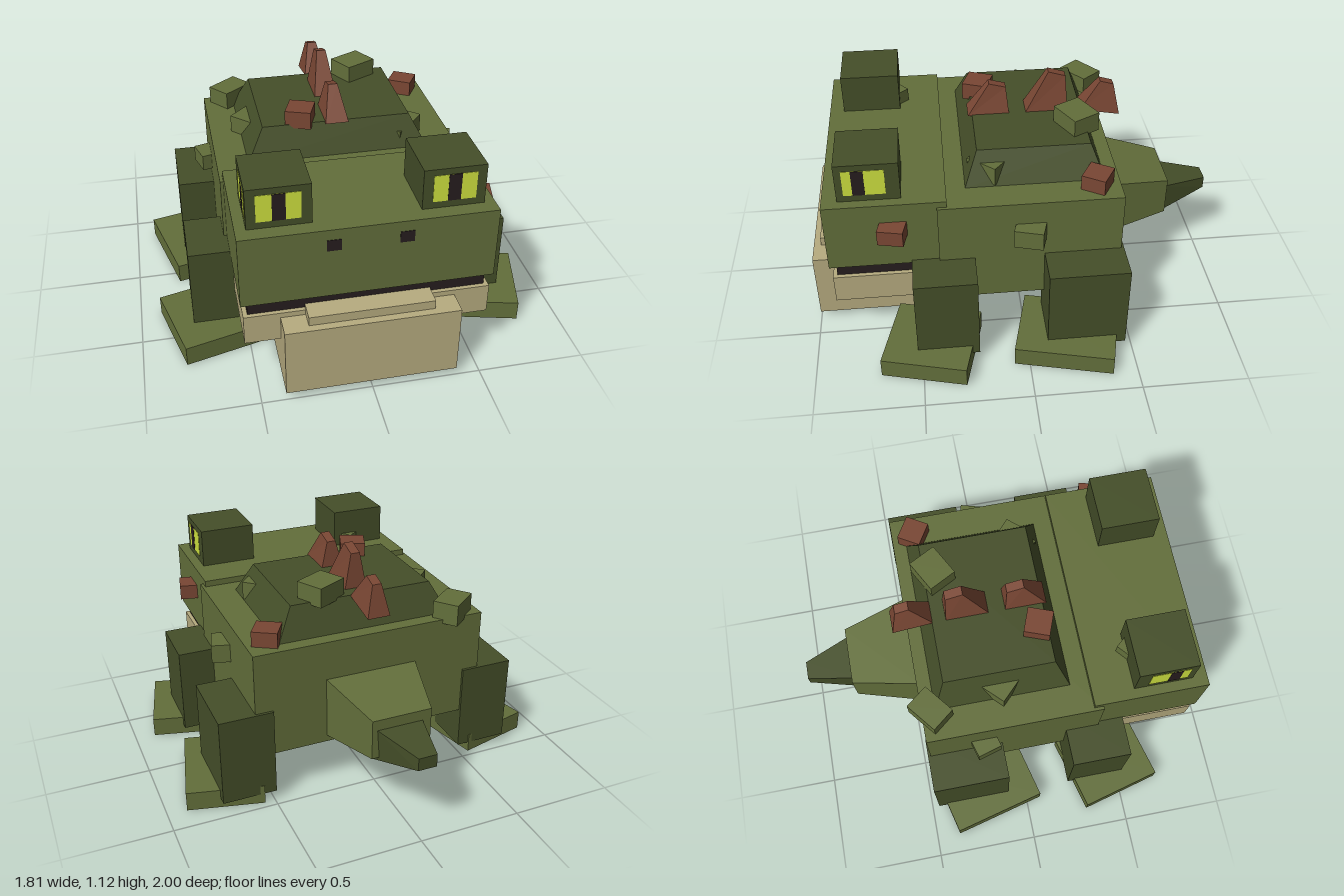
import * as THREE from 'three';

function mat(name, color) {
  const m = new THREE.MeshStandardMaterial({ color, flatShading: true, side: THREE.DoubleSide });
  m.name = name;
  return m;
}

export function createModel() {
  const root = new THREE.Group();
  root.name = 'blockyToad';
  const green = mat('moss green', 0x636f3b);
  const dark = mat('dark green', 0x454f29);
  const tan = mat('belly tan', 0xb7ac80);
  const brown = mat('rust brown', 0x7a4734);
  const black = mat('near black', 0x271d1f);
  const yellow = mat('eye yellow', 0xd0e340);

  function add(name, geometry, material) {
    const m = new THREE.Mesh(geometry, material);
    m.name = name;
    root.add(m);
    return m;
  }

  // Box given by its limits; open = no bottom face
  function box(name, material, [x0, x1], [y0, y1], [z0, z1], open = false) {
    const g = new THREE.BoxGeometry(x1 - x0, y1 - y0, z1 - z0);
    if (open) {
      const idx = Array.from(g.index.array);
      idx.splice(18, 6);
      g.setIndex(idx);
      g.clearGroups();
    }
    const m = add(name, g, material);
    m.position.set((x0 + x1) / 2, (y0 + y1) / 2, (z0 + z1) / 2);
    return m;
  }

  // Box given by centre, size and turn about y
  function turned(name, material, [x, y, z], [w, h, d], turn, open = false) {
    const m = box(name, material, [-w / 2, w / 2], [-h / 2, h / 2], [-d / 2, d / 2], open);
    m.position.set(x, y, z);
    m.rotation.y = turn;
    return m;
  }

  // Six-sided solid from two matching four-corner loops
  function hull(name, material, a, b) {
    const quads = [[...a].reverse(), b];
    for (let i = 0; i < 4; i++) {
      const j = (i + 1) % 4;
      quads.push([a[i], a[j], b[j], b[i]]);
    }
    const pos = quads.flatMap(([p, q, r, s]) => [p, q, r, p, r, s].flat());
    const g = new THREE.BufferGeometry();
    g.setAttribute('position', new THREE.Float32BufferAttribute(pos, 3));
    g.computeVertexNormals();
    return add(name, g, material);
  }

  // Body, head and mouth
  box('body', green, [-0.575, 0.575], [0.253, 0.78], [-0.45, 0.395]);
  box('head', green, [-0.56, 0.56], [0.47, 0.81], [0.35, 0.9]);
  box('mouth', black, [-0.53, 0.53], [0.39, 0.475], [0.36, 0.87]);
  box('jaw', tan, [-0.55, 0.55], [0.258, 0.4], [0.36, 0.89]);
  box('throat', tan, [-0.39, 0.39], [0.037, 0.375], [0.47, 1], true);
  box('lowerLip', tan, [-0.28, 0.28], [0.36, 0.418], [0.6, 0.965]);

  // Raised back plate
  const rect = (hx, y, zBack, zFront) =>
    [[-hx, y, zFront], [hx, y, zFront], [hx, y, zBack], [-hx, y, zBack]];
  hull('backPlate', dark, rect(0.43, 0.778, -0.385, 0.262), rect(0.35, 0.93, -0.325, 0.2));

  // Tail in two tapering pieces
  const section = (x, hx, yLow, yHigh, zLow, zHigh = zLow) =>
    [[x + hx, yLow, zLow], [x - hx, yLow, zLow], [x - hx, yHigh, zHigh], [x + hx, yHigh, zHigh]];
  hull('tailBase', green, section(0, 0.23, 0.285, 0.59, -0.44), section(0, 0.145, 0.335, 0.53, -0.773));
  hull('tailTip', dark, section(0.01, 0.115, 0.3, 0.48, -0.72, -0.76),
    section(-0.01, 0.045, 0.39, 0.452, -1));

  // Spikes: corners (z, y) of the side outline, base front, top front, top back, base back
  const spikes = [
    [[0.22, 0.925], [0.115, 1.077], [0.035, 1.055], [0.022, 0.925]],
    [[-0.055, 0.925], [-0.168, 1.125], [-0.25, 1.1], [-0.26, 0.925]],
    [[-0.32, 0.925], [-0.42, 1.06], [-0.485, 1.04], [-0.515, 0.89]],
  ];
  for (const [bf, tf, tb, bb] of spikes) {
    const loop = (hx, f, k) =>
      [[-hx, f[1], f[0]], [hx, f[1], f[0]], [hx, k[1], k[0]], [-hx, k[1], k[0]]];
    hull('spike', brown, loop(0.055, bf, bb), loop(0.022, tf, tb));
  }

  // Paired parts
  for (const s of [1, -1]) {
    const side = (a, b) => (s > 0 ? [a, b] : [-b, -a]);
    // Legs and feet
    box('frontLeg', dark, side(0.49, 0.752), [0.05, 0.485], [0.232, 0.522]);
    box('rearLeg', dark, side(0.49, 0.752), [0.05, 0.485], [-0.463, -0.09]);
    turned('frontFoot', green, [s * 0.668, 0.048, 0.453], [0.38, 0.096, 0.405], -0.25 * s, true);
    turned('rearFoot', green, [s * 0.673, 0.048, -0.198], [0.367, 0.096, 0.466], -0.24 * s, true);
    // Eyes with front and side panes
    box('eyeSocket', dark, side(0.235, 0.512), [0.8, 1], [0.548, 0.83]);
    box('eyeFront', yellow, side(0.28, 0.47), [0.842, 0.97], [0.826, 0.832]);
    box('pupilFront', black, side(0.345, 0.402), [0.842, 0.97], [0.827, 0.8335]);
    box('eyeSide', yellow, side(0.508, 0.514), [0.842, 0.97], [0.612, 0.798]);
    box('pupilSide', black, side(0.509, 0.5155), [0.842, 0.97], [0.702, 0.757]);
    // Nostrils
    box('nostril', black, side(0.125, 0.188), [0.706, 0.76], [0.897, 0.902]);
  }

  // Warts: colour, centre, size, turn
  const warts = [
    [brown, [-0.165, 0.955, 0.157], [0.122, 0.085, 0.122], -0.36],
    [brown, [0.47, 0.817, -0.34], [0.12, 0.075, 0.115], -0.54],
    [brown, [0.575, 0.678, 0.595], [0.12, 0.075, 0.118], -0.22],
    [green, [-0.438, 0.813, -0.405], [0.17, 0.105, 0.125], 0.67],
    [green, [0.185, 0.965, -0.28], [0.165, 0.095, 0.14], 0.49],
    [green, [0.58, 0.622, -0.025], [0.13, 0.092, 0.135], -0.28],
    [green, [-0.575, 0.588, -0.18], [0.13, 0.08, 0.12], 0.28],
    [green, [-0.37, 0.82, -0.065], [0.145, 0.09, 0.145], 0.785],
    [green, [0.35, 0.832, 0.13], [0.118, 0.09, 0.118], 0.85],
    [green, [0.3, 0.81, 0.18], [0.09, 0.09, 0.09], 0.785],
    [green, [-0.32, 0.835, 0.575], [0.1, 0.08, 0.1], 0.7],
  ];
  for (const [material, centre, size, turn] of warts) turned('wart', material, centre, size, turn);

  return root;
}
